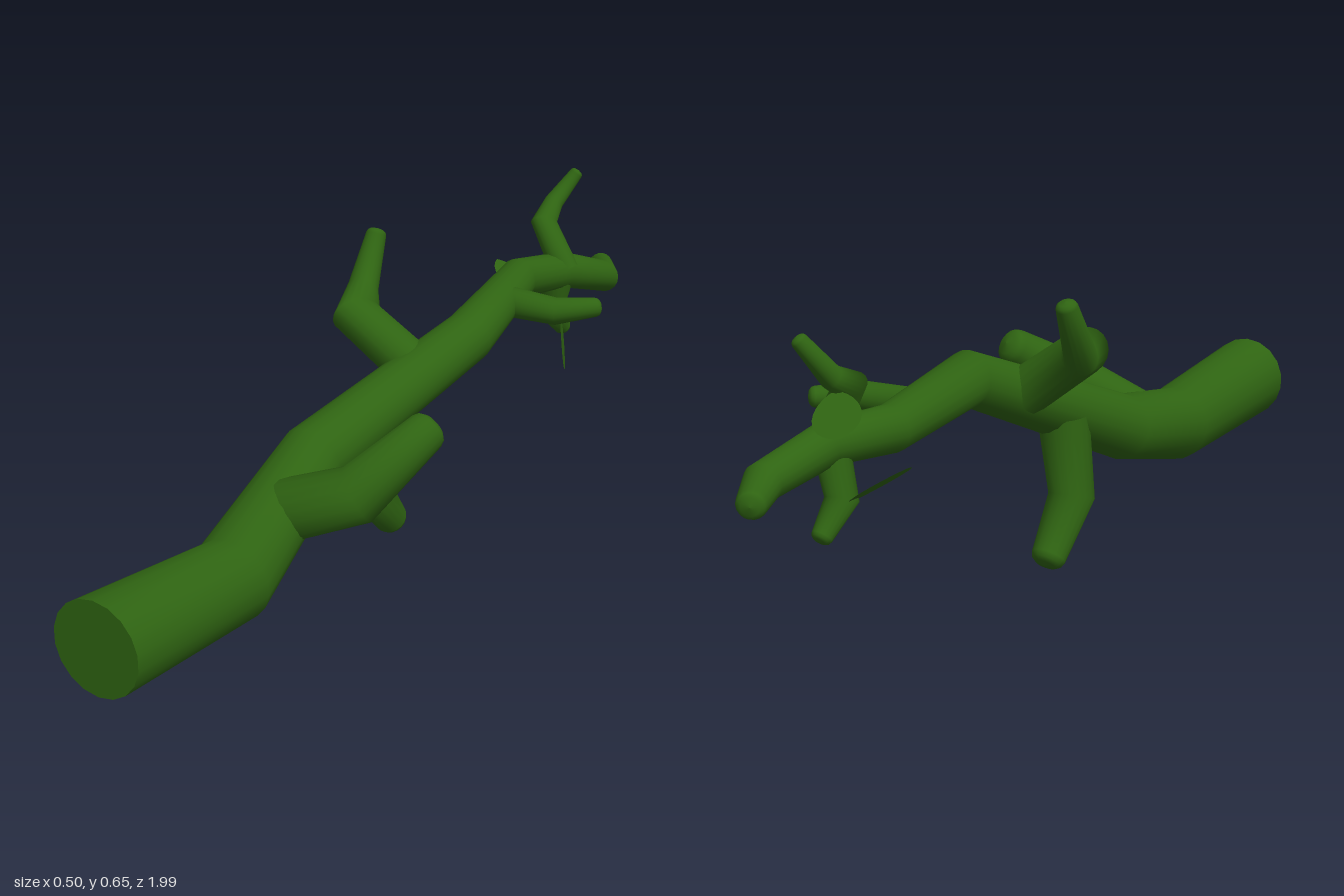
import * as THREE from 'three';

const SIDES = 18;
const green = new THREE.MeshStandardMaterial({ color: 0x2f6412 });
const leafGreen = new THREE.MeshStandardMaterial({ color: 0x2f6412, side: THREE.DoubleSide });

// Tapered limb through [x, y, z, radius] points, with mitred bends and a rounded tip
function limbGeometry(points, startDir) {
  const P = points.map(p => new THREE.Vector3(p[0], p[1], p[2]));
  const dirs = P.slice(1).map((p, i) => p.clone().sub(P[i]).normalize());
  const last = P.length - 1;
  const rings = P.map((c, i) => {
    const a = dirs[Math.max(i - 1, 0)], b = dirs[Math.min(i, last - 1)];
    const t = i === 0 && startDir ? startDir.clone() : a.clone().add(b).normalize();
    const bend = b.clone().sub(a);
    const stretch = Math.min(1 / a.dot(t), 1.25) - 1;
    return { c, t, r: points[i][3], bend: bend.lengthSq() > 1e-6 ? bend.normalize() : null, stretch };
  });
  // rounded tip
  const end = rings[last];
  for (const [ahead, size] of [[0.3, 0.88], [0.5, 0.6], [0.6, 0.001]]) {
    rings.push({ c: end.c.clone().addScaledVector(end.t, end.r * ahead), t: end.t, r: end.r * size });
  }

  const pos = [], index = [];
  const t0 = rings[0].t;
  const u = Math.abs(t0.y) > 0.8 ? new THREE.Vector3(1, 0, 0) : new THREE.Vector3(0, 1, 0);
  rings.forEach((ring, i) => {
    u.addScaledVector(ring.t, -u.dot(ring.t)).normalize();
    const v = ring.t.clone().cross(u);
    for (let j = 0; j < SIDES; j++) {
      const ang = (j / SIDES) * Math.PI * 2;
      const o = u.clone().multiplyScalar(Math.cos(ang)).addScaledVector(v, Math.sin(ang));
      if (ring.bend) o.addScaledVector(ring.bend, o.dot(ring.bend) * ring.stretch);
      o.multiplyScalar(ring.r).add(ring.c);
      pos.push(o.x, o.y, o.z);
      if (i < rings.length - 1) {
        const k = (j + 1) % SIDES, n = i * SIDES, m = n + SIDES;
        index.push(n + j, n + k, m + j, n + k, m + k, m + j);
      }
    }
  });
  const g = new THREE.BufferGeometry();
  g.setAttribute('position', new THREE.Float32BufferAttribute(pos, 3));
  g.setIndex(index);
  g.computeVertexNormals();
  return g;
}

// Flat pointed oval from base to tip, facing along normal
function leafGeometry(base, tip, normal, width) {
  const b = new THREE.Vector3(...base);
  const y = new THREE.Vector3(...tip).sub(b);
  const len = y.length();
  y.normalize();
  const x = y.clone().cross(new THREE.Vector3(...normal)).normalize();
  const z = x.clone().cross(y);
  const s = new THREE.Shape();
  s.moveTo(0, 0);
  s.bezierCurveTo(width * 0.6, len * 0.2, width * 0.8, len * 0.85, 0, len);
  s.bezierCurveTo(-width * 0.8, len * 0.85, -width * 0.6, len * 0.2, 0, 0);
  const g = new THREE.ShapeGeometry(s, 12);
  g.applyMatrix4(new THREE.Matrix4().makeBasis(x, y, z).setPosition(b));
  return g;
}

export function createModel() {
  const group = new THREE.Group();
  const add = (name, geometry, material = green) => {
    const mesh = new THREE.Mesh(geometry, material);
    mesh.name = name;
    group.add(mesh);
    return mesh;
  };

  // main branch, winding from the cut end to the tip
  add('mainBranch', limbGeometry([
    [-0.01, 0.222, 1.0, 0.099],
    [-0.013, 0.184, 0.6, 0.087],
    [-0.095, 0.275, 0.2, 0.073],
    [0.043, 0.445, -0.2, 0.058],
    [-0.06, 0.442, -0.61, 0.047],
    [-0.01, 0.435, -0.74, 0.043],
    [0.03, 0.388, -0.875, 0.038],
    [-0.025, 0.38, -0.972, 0.029],
  ], new THREE.Vector3(0, 0, -1)));

  // flat cut at the thick end
  add('cutEnd', new THREE.CircleGeometry(0.099, SIDES, Math.PI / 2)).position.set(-0.01, 0.222, 1);

  // side twigs
  const twigs = {
    lowerLeftTwig: [[-0.04, 0.24, 0.39, 0.066], [0.14, 0.32, 0.38, 0.06], [0.205, 0.415, 0.23, 0.043]],
    upperRightTwig: [[-0.02, 0.4, -0.08, 0.053], [-0.155, 0.5, -0.06, 0.049],
      [-0.218, 0.515, -0.18, 0.035], [-0.218, 0.627, -0.235, 0.023]],
    hangingTwig: [[-0.05, 0.33, 0.03, 0.057], [-0.065, 0.15, 0.04, 0.05], [-0.065, 0.037, -0.055, 0.038]],
    smallLeftTwig: [[-0.01, 0.445, -0.45, 0.036], [0.13, 0.447, -0.445, 0.031], [0.198, 0.45, -0.51, 0.022]],
    tipUpperTwig: [[0, 0.44, -0.73, 0.034], [-0.06, 0.55, -0.73, 0.029],
      [-0.072, 0.58, -0.8, 0.023], [-0.035, 0.648, -0.84, 0.016]],
    tipLowerTwig: [[-0.01, 0.44, -0.73, 0.036], [-0.035, 0.33, -0.73, 0.031], [-0.03, 0.272, -0.785, 0.021]],
  };
  for (const [name, points] of Object.entries(twigs)) add(name, limbGeometry(points));

  // leaves
  add('hangingLeaf', leafGeometry([0.14, 0.43, -0.45], [0.12, 0.285, -0.52], [0.9, 0.1, -0.43], 0.08), leafGreen);
  add('tipUpperLeaf', leafGeometry([-0.065, 0.55, -0.78], [-0.17, 0.503, -0.91], [0, 0.95, -0.33], 0.085), leafGreen);
  add('tipLowerLeaf', leafGeometry([-0.04, 0.32, -0.71], [-0.205, 0.421, -0.76], [0.53, 0.85, 0], 0.09), leafGreen);
  return group;
}
